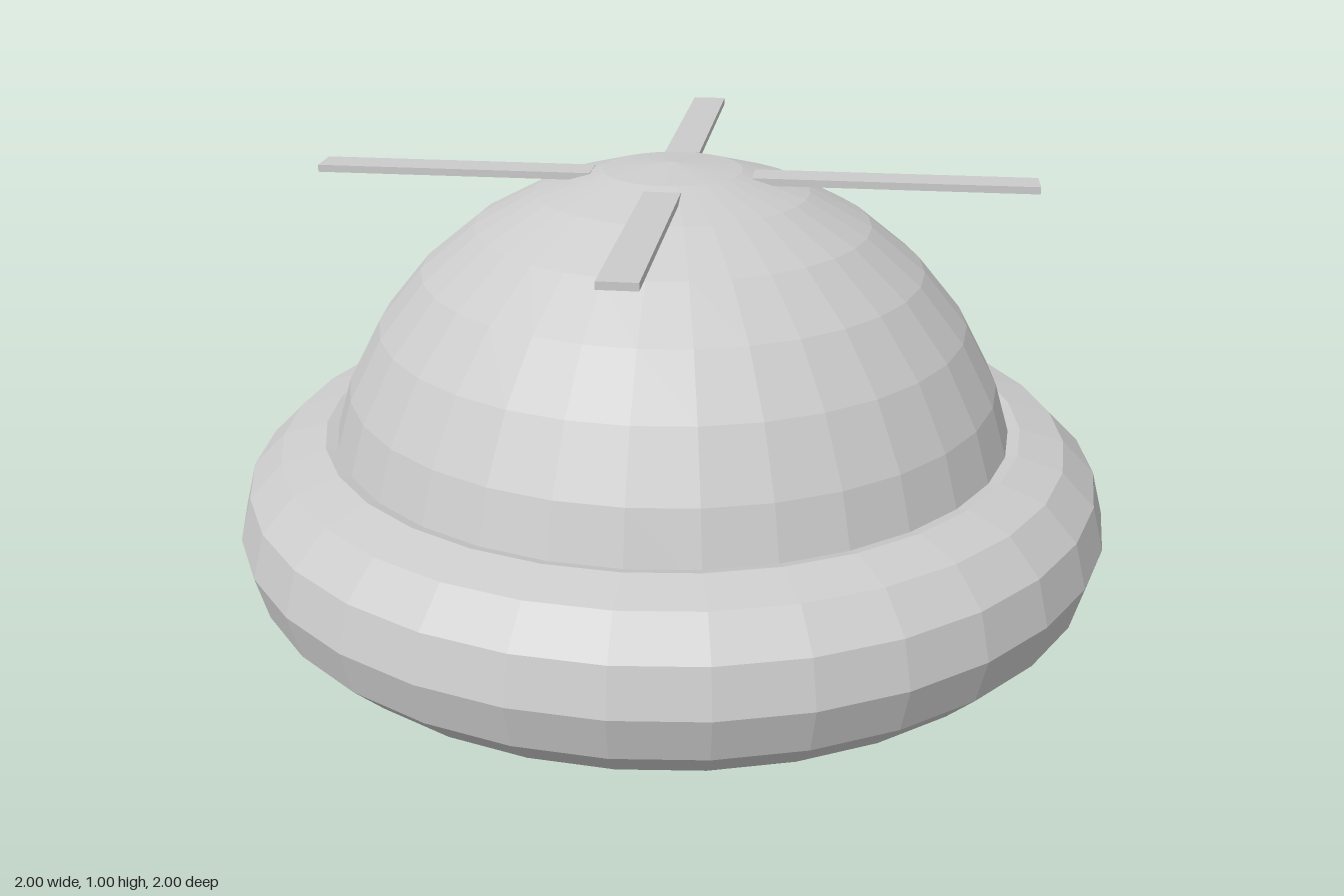
import * as THREE from 'three';

const SIDES = 32;
const RING_RADIUS = 0.8;
const TUBE_RADIUS = 0.2;

export function createModel() {
  const group = new THREE.Group();
  const material = new THREE.MeshStandardMaterial({ color: 0xcccccc, flatShading: true });

  function add(name, geometry, y) {
    const mesh = new THREE.Mesh(geometry, material);
    mesh.name = name;
    mesh.position.y = y;
    group.add(mesh);
    return mesh;
  }

  // Inflated ring the craft rests on
  const ring = new THREE.TorusGeometry(RING_RADIUS, TUBE_RADIUS, 12, SIDES);
  ring.rotateX(-Math.PI / 2);
  add('ring', ring, TUBE_RADIUS);

  // Half-sphere dome rising from the middle of the ring
  const dome = new THREE.SphereGeometry(RING_RADIUS, SIDES, 8, 0, Math.PI * 2, 0, Math.PI / 2);
  add('dome', dome, TUBE_RADIUS);

  // Flat floor closing the dome, facing down
  const floor = new THREE.CircleGeometry(RING_RADIUS, SIDES);
  floor.rotateX(Math.PI / 2);
  add('floor', floor, TUBE_RADIUS);

  // Four thin rotor blades, rooted just inside the dome
  const blade = new THREE.BoxGeometry(0.62, 0.016, 0.08);
  blade.translate(0.49, 0, 0);
  for (let i = 0; i < 4; i++) {
    add(`rotorBlade${i + 1}`, blade, 0.97).rotation.y = i * Math.PI / 2;
  }

  return group;
}
